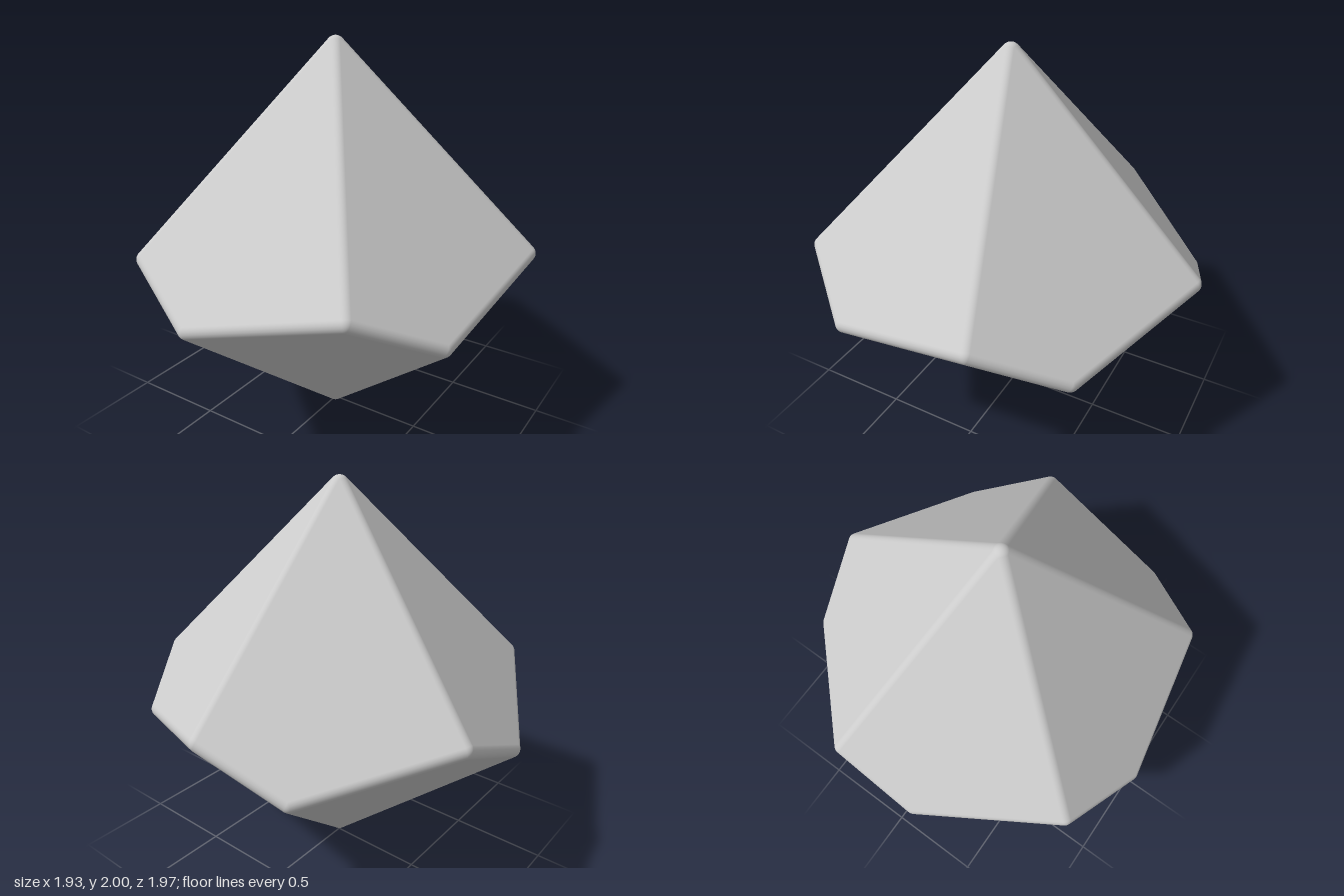
import * as THREE from 'three';

const R = 0.045;   // edge rounding radius
const STEPS = 6;   // segments across each rounded edge

// Corners of the inner core: two apexes and two twisted rings of five.
function coreCorners() {
  const upperR = 0.955, lowerR = 0.938, top = 2 - R, bottom = R;
  const twist = THREE.MathUtils.degToRad(9.9);
  // ring heights that keep every kite face flat
  const c = Math.cos(Math.PI / 5) / Math.cos(twist);
  const kt = c * upperR / lowerR, kb = c * lowerR / upperR;
  const upperY = (top * (1 - kt) + kt * bottom * (1 - kb)) / (1 - kt * kb);
  const lowerY = bottom + kb * (upperY - bottom);
  const point = (radius, y, angle) =>
    new THREE.Vector3(0.01 + radius * Math.cos(angle), y, 0.015 + radius * Math.sin(angle));
  const corners = [point(0, top, 0), point(0, bottom, 0)];
  for (let i = 0; i < 5; i++) {
    const a = 0.3 * Math.PI + i * 0.4 * Math.PI;
    corners.push(point(upperR, upperY, a));
    corners.push(point(lowerR, lowerY, a + 0.2 * Math.PI + twist));
  }
  return corners;
}

function roundedTrapezohedron() {
  const corners = coreCorners();
  const upper = (i) => 2 + 2 * ((i + 5) % 5), lower = (i) => 3 + 2 * ((i + 5) % 5);
  const faces = [];
  for (let i = 0; i < 5; i++) {
    faces.push([0, upper(i + 1), lower(i), upper(i)]);
    faces.push([1, lower(i - 1), upper(i), lower(i)]);
  }
  const normals = faces.map(([a, b, , d]) => {
    const u = corners[b].clone().sub(corners[a]), v = corners[d].clone().sub(corners[a]);
    return u.cross(v).normalize();
  });

  const position = [], normal = [];
  // each item is [core corner index, outward direction]
  const tri = (...items) => items.forEach(([index, dir]) => {
    position.push(...corners[index].clone().addScaledVector(dir, R).toArray());
    normal.push(...dir.toArray());
  });
  const quad = (a, b, c, d) => { tri(a, b, c); tri(a, c, d); };
  const blend = (a, b, t) => a.clone().lerp(b, t).normalize();

  // flat kite faces, and a record of the face beside each directed edge
  const edgeFace = new Map();
  const cornerDir = corners.map(() => new THREE.Vector3());
  faces.forEach((f, k) => {
    quad(...f.map((v) => [v, normals[k]]));
    f.forEach((v, j) => {
      edgeFace.set(v + '-' + f[(j + 1) % 4], k);
      cornerDir[v].add(normals[k]);
    });
  });
  cornerDir.forEach((d) => d.normalize());

  for (const [key, k] of edgeFace) {
    const [a, b] = key.split('-').map(Number);
    const nLeft = normals[k], nRight = normals[edgeFace.get(b + '-' + a)];
    for (let i = 0; i < STEPS; i++) {
      const d0 = blend(nRight, nLeft, i / STEPS), d1 = blend(nRight, nLeft, (i + 1) / STEPS);
      // rounded edge strip
      if (a < b) quad([a, d0], [b, d0], [b, d1], [a, d1]);
      // spherical patch at the corner
      const m = cornerDir[a];
      for (let j = 0; j < STEPS; j++) {
        const s = j / STEPS, t = (j + 1) / STEPS;
        const p = [a, blend(m, d0, t)], q = [a, blend(m, d1, t)];
        if (j === 0) tri([a, m], p, q);
        else quad([a, blend(m, d0, s)], p, q, [a, blend(m, d1, s)]);
      }
    }
  }

  const geometry = new THREE.BufferGeometry();
  geometry.setAttribute('position', new THREE.Float32BufferAttribute(position, 3));
  geometry.setAttribute('normal', new THREE.Float32BufferAttribute(normal, 3));
  return geometry;
}

export function createModel() {
  const group = new THREE.Group();
  group.name = 'tenSidedDie';
  const body = new THREE.Mesh(
    roundedTrapezohedron(),
    new THREE.MeshStandardMaterial({ color: 0xcccccc })
  );
  body.name = 'dieBody';
  group.add(body);
  return group;
}
